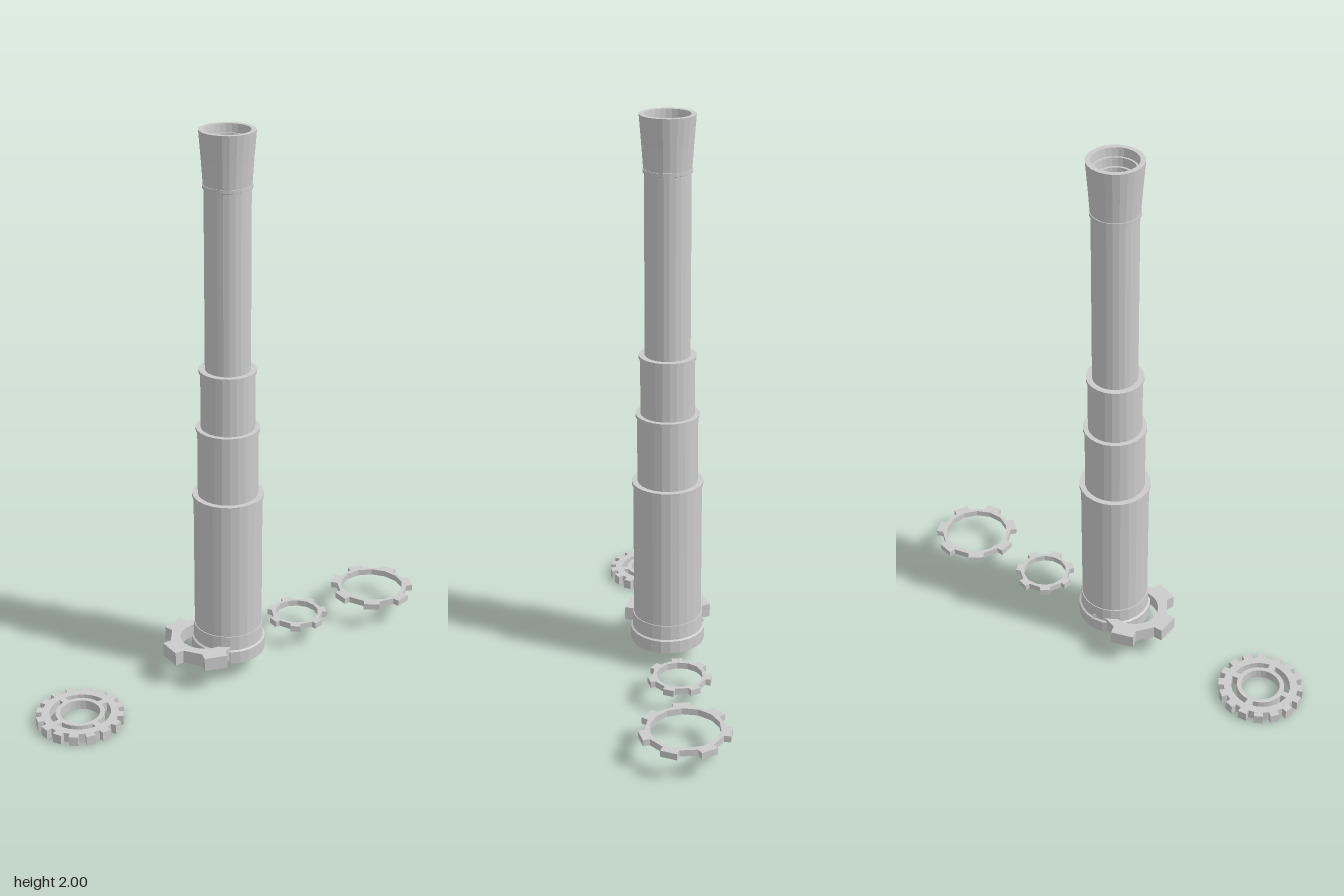
import * as THREE from 'three';

const material = new THREE.MeshStandardMaterial({ color: 0xcccccc, flatShading: true });
const polar = (r, a) => new THREE.Vector2(r * Math.cos(a), r * Math.sin(a));

// Closed outline with evenly spaced, slightly tapered teeth
function toothedShape(teeth, root, tip, phase, halfTip, halfRoot) {
  const points = [];
  for (let i = 0; i < teeth; i++) {
    const a = phase + (i / teeth) * Math.PI * 2;
    points.push(polar(root, a - halfRoot), polar(tip, a - halfTip));
    points.push(polar(tip, a + halfTip), polar(root, a + halfRoot));
  }
  return new THREE.Shape(points);
}

function circlePath(radius, sides, phase = 0) {
  const points = [];
  for (let i = 0; i < sides; i++) points.push(polar(radius, phase + (i / sides) * Math.PI * 2));
  return new THREE.Path(points);
}

// Flat plate lying on the xz plane
function addPlate(group, name, shape, height, x, y, z) {
  const geometry = new THREE.ExtrudeGeometry(shape, { depth: height, bevelEnabled: false });
  geometry.rotateX(-Math.PI / 2);
  const mesh = new THREE.Mesh(geometry, material);
  mesh.name = name;
  mesh.position.set(x, y, z);
  group.add(mesh);
}

// Hollow turned section: closed profile of [radius, y], outside upward then inside downward
function addTurned(group, name, profile) {
  const points = [...profile, profile[0]].map(([r, y]) => new THREE.Vector2(r, y));
  const mesh = new THREE.Mesh(new THREE.LatheGeometry(points, 24), material);
  mesh.name = name;
  group.add(mesh);
}

export function createModel() {
  const model = new THREE.Group();

  // Telescope body
  const telescope = new THREE.Group();
  telescope.name = 'telescope';
  telescope.position.set(-0.017, 0, -0.01);
  model.add(telescope);

  addTurned(telescope, 'baseCollar', [
    [0.134, 0.075], [0.134, 0.122], [0.127, 0.126], [0.125, 0.18], [0.108, 0.18], [0.108, 0.075],
  ]);

  // Nested tubes, each with a small lip at its upper end
  const tubes = [
    ['outerTube', 0.122, 0.105, 0.17, 0.7],
    ['thirdTube', 0.107, 0.093, 0.66, 0.955],
    ['secondTube', 0.095, 0.077, 0.92, 1.17],
    ['innerTube', 0.079, 0.066, 1.13, 1.82],
  ];
  for (const [name, outer, inner, bottom, top] of tubes) {
    const lip = outer + 0.005;
    addTurned(telescope, name, [
      [outer, bottom], [outer, top - 0.014], [lip, top - 0.012], [lip, top], [inner, top], [inner, bottom],
    ]);
  }

  // Flared eyepiece with a stepped bore
  addTurned(telescope, 'eyepiece', [
    [0.081, 1.815], [0.087, 1.9], [0.095, 2], [0.078, 2], [0.075, 1.97],
    [0.068, 1.97], [0.066, 1.94], [0.058, 1.94], [0.058, 1.815],
  ]);

  // Clamp ring pushed through the base
  const clamp = toothedShape(5, 0.127, 0.158, Math.PI, 0.27, 0.34);
  clamp.holes.push(circlePath(0.089, 20));
  addPlate(model, 'clampRing', clamp, 0.05, -0.114, 0.09, -0.018);

  // Loose lock rings
  const small = toothedShape(7, 0.095, 0.112, Math.PI, 0.17, 0.2);
  small.holes.push(circlePath(0.081, 14));
  addPlate(model, 'smallLockRing', small, 0.023, 0.306, 0.077, -0.026);

  const large = toothedShape(7, 0.134, 0.157, Math.PI, 0.19, 0.22);
  large.holes.push(circlePath(0.119, 14));
  addPlate(model, 'largeLockRing', large, 0.023, 0.658, 0.086, -0.015);

  // Spoked gear: central bore plus four curved slots
  const phase = 0.12;
  const gear = toothedShape(16, 0.134, 0.154, phase, 0.105, 0.115);
  gear.holes.push(circlePath(0.07, 24));
  for (let i = 0; i < 4; i++) {
    const start = phase + (i * Math.PI) / 2;
    const slot = [];
    for (let j = 0; j <= 6; j++) slot.push(polar(0.107, start + 0.11 + (j / 6) * (Math.PI / 2 - 0.22)));
    for (let j = 6; j >= 0; j--) slot.push(polar(0.086, start + 0.13 + (j / 6) * (Math.PI / 2 - 0.26)));
    gear.holes.push(new THREE.Path(slot));
  }
  addPlate(model, 'spokedGear', gear, 0.035, -0.655, 0, 0.015);

  return model;
}
